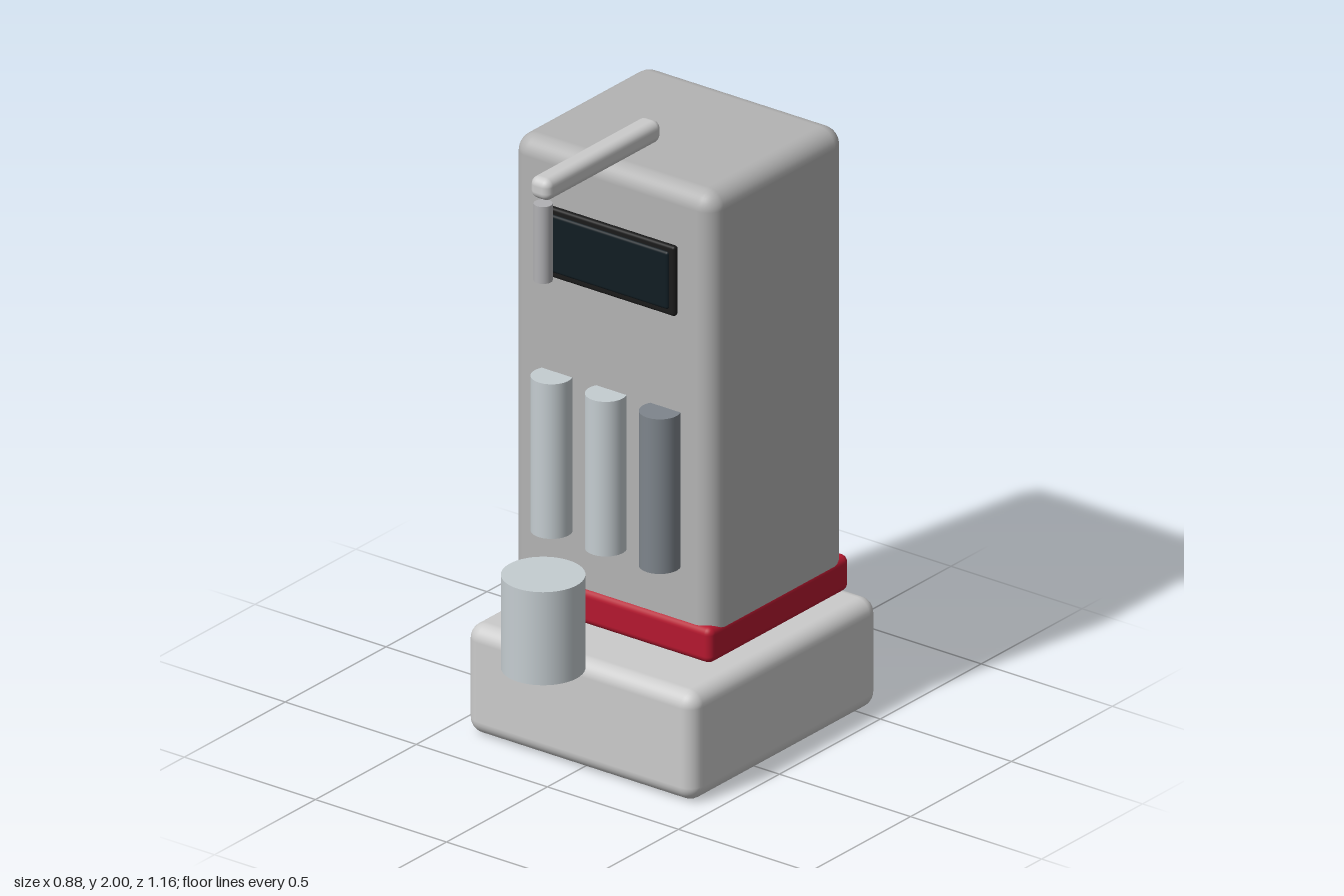
import * as THREE from 'three';
import { RoundedBoxGeometry } from 'three/addons/geometries/RoundedBoxGeometry.js';

const material = (color) => new THREE.MeshStandardMaterial({ color });

export function createModel() {
  const model = new THREE.Group();
  const casing = material(0xcccccc);
  const bodyGrey = material(0xb3b3b3);
  const red = material(0xb5182f);
  const black = material(0x1a1a1a);
  const glass = material(0x101c22);
  const steel = material(0xc5cdd1);
  const darkSteel = material(0x7e858c);
  const spoutGrey = material(0xb0b0b3);

  function add(name, geometry, mat, x, y, z) {
    const mesh = new THREE.Mesh(geometry, mat);
    mesh.name = name;
    mesh.position.set(x, y, z);
    model.add(mesh);
  }

  // Rounded box given by its extents on each axis
  function box(name, mat, [x0, x1], [y0, y1], [z0, z1], radius) {
    const geometry = new RoundedBoxGeometry(x1 - x0, y1 - y0, z1 - z0, 4, radius);
    add(name, geometry, mat, (x0 + x1) / 2, (y0 + y1) / 2, (z0 + z1) / 2);
  }

  // Upright cylinder between two heights
  function tube(name, mat, radius, x, [y0, y1], z) {
    add(name, new THREE.CylinderGeometry(radius, radius, y1 - y0, 48), mat, x, (y0 + y1) / 2, z);
  }

  // Housing: wide base, red band and tall body
  box('base', casing, [-0.437, 0.437], [0, 0.363], [-0.58, 0.345], 0.05);
  box('band', red, [-0.439, 0.333], [0.358, 0.478], [-0.569, 0.126], 0.025);
  box('body', bodyGrey, [-0.437, 0.331], [0.36, 1.912], [-0.555, 0.114], 0.06);

  // Display
  box('displayFrame', black, [-0.312, 0.205], [1.488, 1.721], [0.115, 0.137], 0.01);
  box('displayGlass', glass, [-0.292, 0.185], [1.508, 1.701], [0.122, 0.144], 0.01);

  // Row of canisters half sunk into the front
  [-0.26, -0.053, 0.153].forEach((x, i) => {
    tube('canister' + (i + 1), i === 2 ? darkSteel : steel, 0.064, x, [0.65, 1.165], 0.141);
  });

  // Cup, overhead arm and spout
  const centre = -0.053;
  tube('cup', steel, 0.128, centre, [0.365, 0.675], 0.452);
  box('arm', casing, [centre - 0.038, centre + 0.038], [1.928, 2], [-0.092, 0.477], 0.026);
  tube('spout', spoutGrey, 0.029, centre, [1.656, 1.912], 0.452);

  return model;
}
